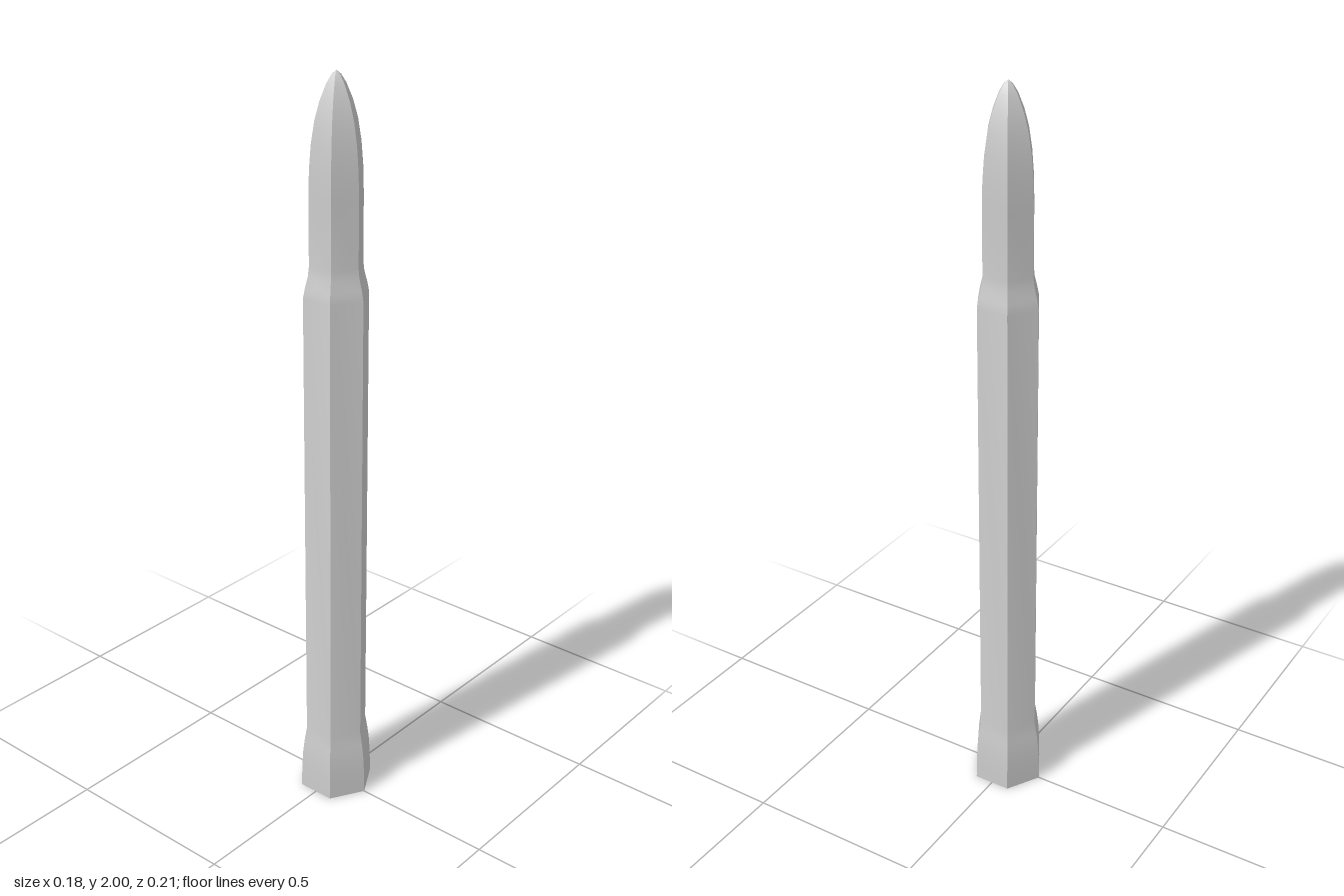
import * as THREE from 'three';
import { toCreasedNormals } from 'three/addons/utils/BufferGeometryUtils.js';

const SIDES = 6;
const material = new THREE.MeshStandardMaterial({ color: 0xcccccc });

// Six-sided section turned from [radius, height] pairs, smooth along its
// length and sharp at the long edges; corners lie on +z and -z.
function hexSection(name, profile) {
  const points = profile.map(([r, y]) => new THREE.Vector2(r, y));
  const geometry = toCreasedNormals(new THREE.LatheGeometry(points, SIDES), 0.5);
  const mesh = new THREE.Mesh(geometry, material);
  mesh.name = name;
  return mesh;
}

export function createModel() {
  const group = new THREE.Group();
  group.name = 'rocket';

  // Recessed underside with a flat rim
  group.add(hexSection('baseRecess', [[0, 0.03], [0.08, 0.03], [0.08, 0], [0.103, 0]]));

  // Flared skirt, long body, shoulder and rounded nose in one hull
  group.add(hexSection('hull', [
    [0.103, 0], [0.102, 0.06], [0.099, 0.11], [0.094, 0.15], [0.087, 0.19],
    [0.087, 1.45], [0.082, 1.475], [0.074, 1.505], [0.071, 1.53],
    [0.071, 1.7], [0.069, 1.77], [0.064, 1.83], [0.055, 1.885],
    [0.042, 1.93], [0.025, 1.97], [0.012, 1.99], [0, 2],
  ]));

  return group;
}
